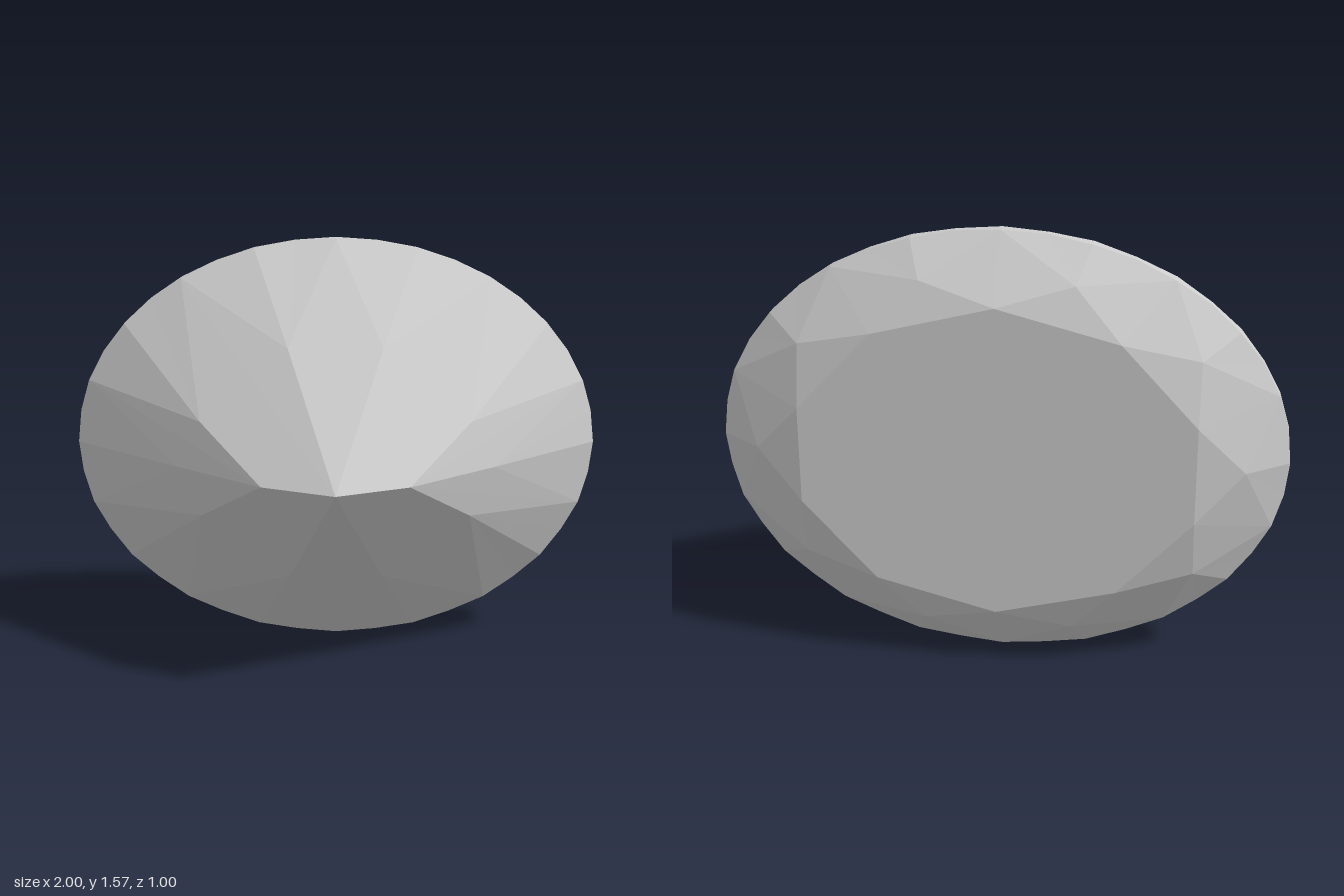
import * as THREE from 'three';

const B = 0.787;            // height of the oval relative to its width
const CULET = [0, 0, 0.5];

// Point on an oval of the given half width, angle in degrees
function oval(r, deg, z) {
  const a = THREE.MathUtils.degToRad(deg);
  return [r * Math.cos(a), r * B * Math.sin(a), z];
}
// Scalloped girdle edges: cusps every 18 degrees, dips halfway between
const isCusp = deg => Math.round(deg) % 18 === 0;
const girdleFront = deg => oval(1, deg, isCusp(deg) ? -0.288 : -0.299);
const girdleBack = deg => oval(1, deg, isCusp(deg) ? -0.336 : -0.326);

// Build a mesh from flat polygons, each fanned from its first point and facing outwards
function facetMesh(name, facets, material) {
  const positions = [];
  const inside = new THREE.Vector3(0, 0, -0.2);
  for (const f of facets) {
    for (let i = 1; i < f.length - 1; i++) {
      const [a, b, c] = [f[0], f[i], f[i + 1]].map(p => new THREE.Vector3(...p));
      const n = b.clone().sub(a).cross(c.clone().sub(a));
      const order = n.dot(a.clone().sub(inside)) > 0 ? [a, b, c] : [a, c, b];
      order.forEach(p => positions.push(p.x, p.y, p.z));
    }
  }
  const geometry = new THREE.BufferGeometry();
  geometry.setAttribute('position', new THREE.Float32BufferAttribute(positions, 3));
  geometry.computeVertexNormals();
  const mesh = new THREE.Mesh(geometry, material);
  mesh.name = name;
  return mesh;
}

// Pointed front: one quadrant of facets, mirrored four ways
function pavilionFacets() {
  const keel = [0.26, 0, 0.38];
  const p0 = [0.58, 0, 0.1];
  const p36 = [0.49, 0.176, 0.131];
  const p72 = [0.172, 0.43, 0.07];
  const g = girdleFront;
  const quadrant = [
    [keel, p0, g(18), p36],               // main facets
    [CULET, keel, p36, g(54), p72],
    [CULET, p72, g(90)],
  ];
  [p0, p36, p36, p72, p72].forEach((p, i) => {   // slim facets along the girdle
    const a = i * 18;
    quadrant.push([p, g(a), g(a + 9), g(a + 18)]);
  });
  const facets = [];
  for (const sx of [1, -1]) for (const sy of [1, -1]) {
    for (const f of quadrant) facets.push(f.map(([x, y, z]) => [sx * x, sy * y, z]));
  }
  return facets;
}

// Bevelled back: star, kite and girdle facets in ten repeats
function crownFacets() {
  const facets = [];
  const g = girdleBack;
  for (let a = 0; a < 360; a += 36) {
    const star = oval(0.85, a, -0.445);
    const next = oval(0.85, a + 36, -0.445);
    facets.push([star, tablePoint(a - 18), tablePoint(a + 18)]);
    facets.push([tablePoint(a + 18), star, g(a + 18), next]);
    facets.push([star, g(a), g(a + 9), g(a + 18)]);
    facets.push([star, g(a), g(a - 9), g(a - 18)]);
  }
  return facets;
}

function tablePoint(deg) {
  return oval(0.72, deg, -0.5);
}

export function createModel() {
  const stone = new THREE.MeshStandardMaterial({ color: 0xcccccc, flatShading: true });
  stone.name = 'pale grey stone';

  // Thin rim between front and back
  const rim = [];
  for (let a = 0; a < 360; a += 9) {
    rim.push([girdleFront(a), girdleFront(a + 9), girdleBack(a + 9), girdleBack(a)]);
  }
  // Flat ten-sided back face
  const table = [];
  for (let a = 18; a < 360; a += 36) table.push(tablePoint(a));

  const gem = new THREE.Group();
  gem.name = 'ovalGem';
  gem.add(
    facetMesh('pavilion', pavilionFacets(), stone),
    facetMesh('girdle', rim, stone),
    facetMesh('crown', crownFacets(), stone),
    facetMesh('table', [table], stone),
  );
  gem.position.y = B;

  const model = new THREE.Group();
  model.name = 'model';
  model.add(gem);
  return model;
}
